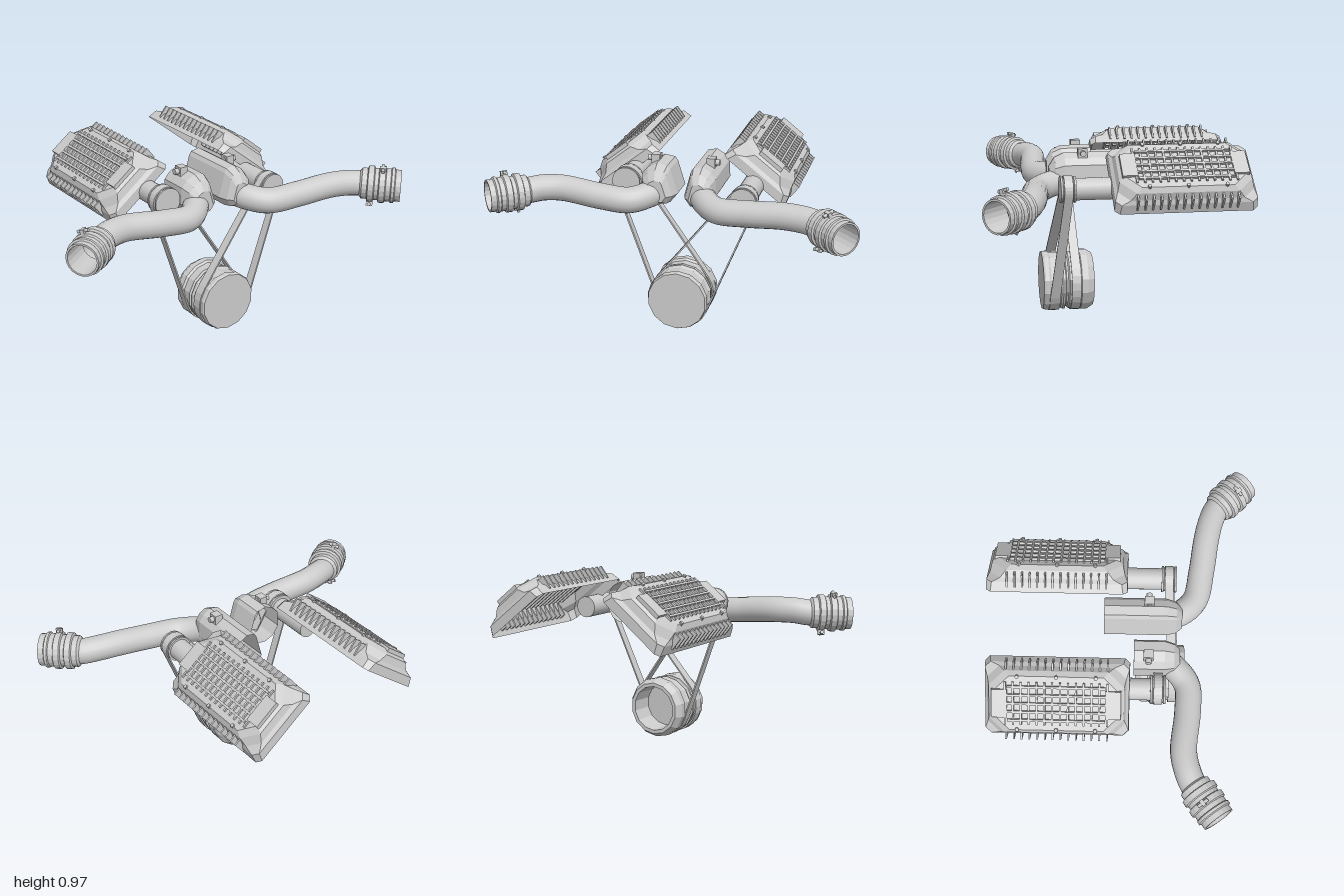
import * as THREE from 'three';

const flat = new THREE.MeshStandardMaterial({ color: 0xcccccc, flatShading: true, side: THREE.DoubleSide });
const smooth = new THREE.MeshStandardMaterial({ color: 0xcccccc, side: THREE.DoubleSide });
const V = (x, y, z) => new THREE.Vector3(x, y, z);

function add(parent, name, geo, mat = flat, pos = [0, 0, 0]) {
  const m = new THREE.Mesh(geo, mat);
  m.name = name;
  m.position.set(...pos);
  parent.add(m);
  return m;
}
const box = (parent, name, size, pos) => add(parent, name, new THREE.BoxGeometry(...size), flat, pos);

// Skin over equal-length rings; optionally joins last to first, or caps the last ring
function loft(rings, { wrap = false, cap = false } = {}) {
  const n = rings[0].length, pts = rings.flat(), idx = [];
  const count = wrap ? rings.length : rings.length - 1;
  for (let r = 0; r < count; r++) {
    const a = r * n, b = ((r + 1) % rings.length) * n;
    for (let i = 0; i < n; i++) {
      const j = (i + 1) % n;
      idx.push(a + i, a + j, b + j, a + i, b + j, b + i);
    }
  }
  if (cap) {
    const s = (rings.length - 1) * n;
    for (let i = 1; i < n - 1; i++) idx.push(s, s + i, s + i + 1);
  }
  const g = new THREE.BufferGeometry().setFromPoints(pts);
  g.setIndex(idx);
  g.computeVertexNormals();
  return g;
}

// Rectangle with cut corners in the xz plane at height y
function cutRect(w, l, c, y) {
  const x = w / 2, z = l / 2;
  return [[x, z - c], [x, c - z], [x - c, -z], [c - x, -z], [-x, c - z], [-x, z - c], [c - x, z], [x - c, z]]
    .map(([a, b]) => V(a, y, b));
}

// Lathe whose profile is [radius, z], turned about the z axis
function turnedZ(profile, sides) {
  return new THREE.LatheGeometry(profile.map(p => new THREE.Vector2(...p)), sides).rotateX(Math.PI / 2);
}

// Tilted hollow cover with grille, side fins and bolts
function makeCover(x, z, tilt) {
  const g = new THREE.Group();
  g.name = 'ribbedCover';
  g.position.set(x, 0.76, z);
  g.rotation.z = tilt;
  add(g, 'coverShell', loft([
    cutRect(0.42, 0.745, 0.025, 0), cutRect(0.39, 0.74, 0.03, 0.05), cutRect(0.36, 0.71, 0.06, 0.07),
    cutRect(0.335, 0.69, 0.08, 0.108), cutRect(0.29, 0.64, 0.08, 0.13)], { cap: true }));
  for (let i = 0; i < 5; i++) box(g, 'grilleLongBar', [0.012, 0.022, 0.5], [-0.09 + i * 0.045, 0.132, 0]);
  for (let i = 0; i < 14; i++) {
    const bz = -0.26 + i * 0.04;
    box(g, 'grilleCrossBar', [0.23, 0.02, 0.01], [0, 0.13, bz]);
    box(g, 'innerRib', [0.28, 0.03, 0.01], [0, 0.105, bz]);
    for (const s of [-1, 1]) box(g, 'sideFin', [0.045, 0.075, 0.009], [s * 0.187, 0.063, bz]);
  }
  for (const s of [-1, 1]) {
    box(g, 'grilleEndBlock', [0.15, 0.035, 0.08], [0, 0.125, s * 0.29]);
    for (const bz of [-0.2, 0, 0.2])
      add(g, 'coverBolt', new THREE.CylinderGeometry(0.01, 0.01, 0.03, 8), flat, [s * 0.142, 0.125, bz]);
  }
  return g;
}

// Duct housing, open at the back and narrowing at the front
function makeHousing(side, cx, halfWidth, back, front) {
  const g = new THREE.Group();
  g.name = 'ductHousing';
  const section = [[-1, 0.73], [-0.6, 0.86], [-0.45, 0.88], [0.1, 0.89], [0.6, 0.865], [0.9, 0.83],
    [0.95, 0.74], [0.6, 0.69], [0.1, 0.67], [-0.6, 0.68]];
  const ring = (z, k, cy) => section.map(([u, y]) => V(cx + side * u * halfWidth * k, cy + (y - cy) * k, z));
  add(g, 'housingShell', loft([ring(back, 1, 0.74), ring(front - 0.08, 1, 0.74),
    ring(front - 0.03, 0.85, 0.73), ring(front, 0.55, 0.73)], { cap: true }));
  box(g, 'housingLug', [0.045, 0.05, 0.05], [cx + side * 0.035, 0.89, 0.135]);
  add(g, 'lugPin', new THREE.CylinderGeometry(0.016, 0.016, 0.07, 10).rotateZ(Math.PI / 2), smooth,
    [cx + side * 0.045, 0.89, 0.135]);
  return g;
}

// Curved pipe ending in an open clamped coupler
function makePipe(points, end, dir) {
  const g = new THREE.Group();
  g.name = 'intakePipe';
  const axis = V(...dir).normalize(), tip = V(...end);
  const start = tip.clone().addScaledVector(axis, -0.22);
  const curve = new THREE.CatmullRomCurve3([...points.map(p => V(...p)), start,
    start.clone().addScaledVector(axis, 0.06)]);
  add(g, 'pipe', new THREE.TubeGeometry(curve, 48, 0.069, 18), smooth);
  const coupler = new THREE.Group();
  coupler.name = 'coupler';
  coupler.position.copy(start);
  coupler.quaternion.setFromUnitVectors(V(0, 0, 1), axis);
  const profile = [[0.068, 0], [0.084, 0.012], [0.084, 0.04], [0.098, 0.045], [0.098, 0.075], [0.087, 0.08],
    [0.087, 0.1], [0.1, 0.105], [0.1, 0.135], [0.09, 0.14], [0.09, 0.165], [0.096, 0.17], [0.096, 0.185],
    [0.086, 0.19], [0.086, 0.22], [0.076, 0.22], [0.076, 0.02]];
  add(coupler, 'couplerSleeve', turnedZ(profile, 20));
  for (const [z, a] of [[0.06, -1.9], [0.12, 1.9]]) {
    const lug = box(coupler, 'clampLug', [0.03, 0.02, 0.035], [Math.cos(a) * 0.105, Math.sin(a) * 0.105, z]);
    lug.rotation.z = a;
    const screw = add(coupler, 'clampScrew', new THREE.CylinderGeometry(0.009, 0.009, 0.06, 8), smooth,
      [Math.cos(a) * 0.11, Math.sin(a) * 0.11, z]);
    screw.rotation.z = a;
  }
  g.add(coupler);
  return g;
}

// Flat belt around two circles, each [x, y, radius, z, width]
function makeBelt(c1, c2) {
  const dx = c2[0] - c1[0], dy = c2[1] - c1[1];
  const phi = Math.atan2(dy, dx), beta = Math.acos((c1[2] - c2[2]) / Math.hypot(dx, dy));
  const rings = [];
  const arc = ([x, y, r, z, w], from, to, steps) => {
    for (let i = 0; i <= steps; i++) {
      const a = from + (to - from) * i / steps;
      const at = (q, d) => V(x + Math.cos(a) * q, y + Math.sin(a) * q, z + d);
      rings.push([at(r, -w / 2), at(r + 0.008, -w / 2), at(r + 0.008, w / 2), at(r, w / 2)]);
    }
  };
  arc(c1, phi + beta, phi + 2 * Math.PI - beta, 14);
  arc(c2, phi - beta, phi + beta, 12);
  return loft(rings, { wrap: true });
}

export function createModel() {
  const model = new THREE.Group();
  model.name = 'beltDrivenTwinIntake';

  // Covers
  const tilt = 38 * Math.PI / 180;
  model.add(makeCover(0.365, -0.352, -tilt), makeCover(-0.32, -0.33, tilt));

  // Main pulley: closed front, hollow back
  add(model, 'mainPulley', turnedZ([[0, 0.345], [0.158, 0.345], [0.163, 0.335], [0.163, 0.315], [0.156, 0.305],
    [0.156, 0.25], [0.163, 0.24], [0.163, 0.228], [0.15, 0.222], [0.15, 0.212], [0.16, 0.205], [0.156, 0.19],
    [0.156, 0.15], [0.167, 0.14], [0.167, 0.105], [0.145, 0.07], [0.125, 0.07], [0.12, 0.2], [0, 0.2]], 14),
  flat, [0.025, 0.168, 0]);

  // Small pulleys on shafts, and their belts: x, y, radius, z, belt z and width below
  for (const [x, y, r, z, lowZ, lowW] of [[0.36, 0.735, 0.064, 0.24, 0.285, 0.055], [-0.28, 0.775, 0.07, 0.188, 0.17, 0.05]]) {
    add(model, 'driveShaft', new THREE.CylinderGeometry(0.058, 0.058, z + 0.1, 18).rotateX(Math.PI / 2), smooth,
      [x, y, (z - 0.1) / 2]);
    add(model, 'smallPulley', turnedZ([[0, 0.04], [r + 0.006, 0.04], [r + 0.006, 0.03], [r, 0.026], [r, -0.026],
      [r + 0.006, -0.03], [r + 0.006, -0.04], [0, -0.04]], 18), flat, [x, y, z]);
    add(model, 'driveBelt', makeBelt([0.025, 0.168, 0.158, lowZ, lowW], [x, y, r, z, 0.045]));
  }

  // Duct housings
  model.add(makeHousing(-1, -0.1, 0.1, 0.06, 0.3), makeHousing(1, 0.127, 0.088, -0.1, 0.31));

  // Pipes
  model.add(makePipe([[0.13, 0.74, 0.2], [0.165, 0.73, 0.3], [0.25, 0.715, 0.38], [0.42, 0.725, 0.415], [0.6, 0.74, 0.44],
    [0.71, 0.74, 0.465]], [0.943, 0.73, 0.648], [0.72, -0.02, 0.69]));
  model.add(makePipe([[-0.09, 0.74, 0.19], [-0.14, 0.73, 0.27], [-0.23, 0.715, 0.34], [-0.38, 0.725, 0.345], [-0.6, 0.745, 0.325],
    [-0.7, 0.745, 0.345]], [-0.948, 0.73, 0.505], [-0.81, -0.02, 0.59]));

  return model;
}
